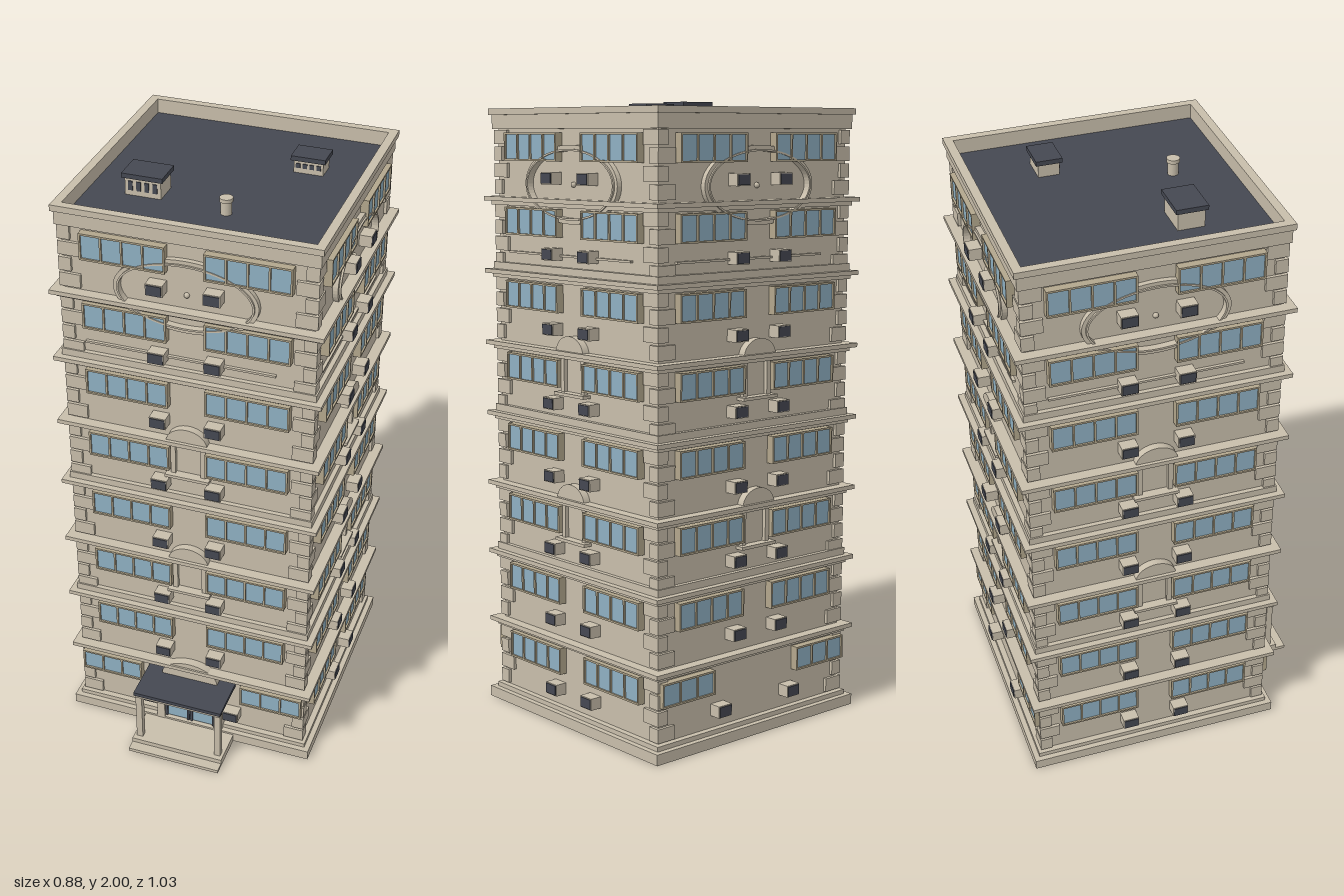
import * as THREE from 'three';

const mat = (name, color) => {
  const m = new THREE.MeshStandardMaterial({ color });
  m.name = name;
  return m;
};

export function createModel() {
  const stone = mat('stone', 0xc8beab);
  const frameTan = mat('window frame', 0xb3a78d);
  const glass = mat('glass', 0x8fb0c2);
  const dark = mat('dark slate', 0x454852);

  const model = new THREE.Group();
  model.name = 'apartmentTower';
  const tower = new THREE.Group();
  tower.name = 'tower';
  tower.position.z = -0.082;
  model.add(tower);

  const add = (parent, name, geo, material, x = 0, y = 0, z = 0) => {
    const m = new THREE.Mesh(geo, material);
    m.name = name;
    m.position.set(x, y, z);
    parent.add(m);
    return m;
  };
  // Box given by its min and max on each axis
  const box = (parent, name, material, x0, x1, y0, y1, z0, z1) =>
    add(parent, name, new THREE.BoxGeometry(x1 - x0, y1 - y0, z1 - z0), material,
      (x0 + x1) / 2, (y0 + y1) / 2, (z0 + z1) / 2);
  const slab = (name, half, y0, y1, material = stone) =>
    box(tower, name, material, -half, half, y0, y1, -half, half);
  const extrude = (shape, depth) =>
    new THREE.ExtrudeGeometry(shape, { depth, bevelEnabled: false, curveSegments: 32 });
  const rect = (path, x0, x1, y0, y1) =>
    path.moveTo(x0, y0).lineTo(x1, y0).lineTo(x1, y1).lineTo(x0, y1).closePath();

  const FLOORS = 8, PITCH = 0.2355, WALL = 0.395;

  // Body, plinth and storey bands
  slab('walls', WALL, 0.02, 1.925);
  slab('plinth', 0.433, 0, 0.035);
  slab('plinthStep', 0.415, 0.035, 0.05);
  for (let i = 1; i < FLOORS; i++) {
    const y = 0.275 + (i - 1) * PITCH;
    slab('storeyBand', 0.431, y - 0.007, y + 0.007);
    slab('bandMoulding', 0.413, y - 0.02, y - 0.007);
    if (i % 2 === 0) slab('bandCourse', 0.41, y + 0.007, y + 0.03);
  }

  // Alternating corner blocks
  for (let f = 0; f < FLOORS; f++) for (let k = 0; k < 4; k++) {
    const y = 0.055 + f * PITCH + k * 0.053;
    const w = k % 2 ? 0.04 : 0.068, d = k % 2 ? 0.068 : 0.04;
    for (const sx of [-1, 1]) for (const sz of [-1, 1])
      add(tower, 'cornerBlock', new THREE.BoxGeometry(w, 0.045, d), stone,
        sx * (0.405 - w / 2), y + 0.0225, sz * (0.405 - d / 2));
  }

  // Parapet ring and roof deck
  const ring = (half, hole, y, h) => {
    const s = new THREE.Shape(), p = new THREE.Path();
    rect(s, -half, half, -half, half);
    rect(p, -hole, hole, -hole, hole);
    s.holes.push(p);
    add(tower, 'parapet', extrude(s, h), stone, 0, y, 0).rotation.x = -Math.PI / 2;
  };
  ring(0.41, 0.39, 1.91, 0.05);
  ring(0.418, 0.39, 1.955, 0.02);
  slab('roofDeck', 0.392, 1.92, 1.928, dark);

  // Window: framed panes standing proud of the wall
  const windowGeo = (w, h, panes) => {
    const s = new THREE.Shape();
    rect(s, -w / 2, w / 2, -h / 2, h / 2);
    const b = 0.006, step = (w - b) / panes;
    for (let i = 0; i < panes; i++) {
      const p = new THREE.Path(), x = -w / 2 + b + i * step;
      rect(p, x, x + step - b, -h / 2 + b, h / 2 - b);
      s.holes.push(p);
    }
    return extrude(s, 0.03);
  };
  const wide = windowGeo(0.27, 0.088, 4), narrow = windowGeo(0.218, 0.078, 3);
  const addWindow = (face, x, y, isNarrow) => {
    const w = isNarrow ? 0.218 : 0.27, h = isNarrow ? 0.078 : 0.088;
    add(face, 'windowFrame', isNarrow ? narrow : wide, frameTan, x, y, 0.391);
    box(face, 'windowGlass', glass, x - w / 2 + 0.003, x + w / 2 - 0.003,
      y - h / 2 + 0.003, y + h / 2 - 0.003, 0.395, 0.415);
  };
  // Air conditioner: stone casing, dark grille with slats
  const addCooler = (face, x, y) => {
    box(face, 'coolerCasing', stone, x - 0.027, x + 0.027, y - 0.019, y + 0.019, 0.39, 0.435);
    box(face, 'coolerGrille', dark, x - 0.024, x + 0.024, y - 0.016, y + 0.016, 0.433, 0.438);
  };
  // Half-ellipse hood
  const hood = (face, rx, ry, y, depth) => {
    const s = new THREE.Shape();
    s.absellipse(0, 0, rx, ry, 0, Math.PI, false, 0);
    s.closePath();
    add(face, 'archHood', extrude(s, depth), stone, 0, y, 0.39);
  };
  const ellipseRing = (face, rx, ry, t, depth) => {
    const s = new THREE.Shape(), p = new THREE.Path();
    s.absellipse(0, 0, rx, ry, 0, Math.PI * 2, false, 0);
    p.absellipse(0, 0, rx - t, ry - t, 0, Math.PI * 2, true, 0);
    s.holes.push(p);
    add(face, 'ovalMoulding', extrude(s, depth), stone, 0, 1.74, 0.39);
  };

  // Four facades
  ['front', 'left', 'back', 'right'].forEach((side, n) => {
    const face = new THREE.Group();
    face.name = side + 'Facade';
    face.rotation.y = n * Math.PI / 2;
    tower.add(face);
    for (let f = 0; f < FLOORS; f++) {
      const y = 0.206 + f * PITCH;
      const shifted = f === 0 && n % 2 === 0;
      for (const s of [-1, 1]) {
        addWindow(face, s * (shifted ? 0.289 : 0.195), y, shifted);
        addCooler(face, s * (shifted ? 0.151 : 0.09), y - 0.096);
      }
    }
    // Large oval relief with a central boss
    ellipseRing(face, 0.228, 0.121, 0.016, 0.022);
    ellipseRing(face, 0.216, 0.109, 0.006, 0.028);
    add(face, 'boss', new THREE.SphereGeometry(0.009, 12, 8), stone, 0, 1.74, 0.397);
    box(face, 'ledge', stone, -0.33, 0.28, 1.515, 1.522, 0.39, 0.405);
    // Arched niches between the windows
    for (const y of [0.746, 1.217]) {
      hood(face, 0.068, 0.055, y, 0.03);
      box(face, 'nicheSill', stone, -0.073, 0.073, y - 0.135, y - 0.125, 0.39, 0.425);
      for (const s of [-1, 1])
        box(face, 'nichePilaster', stone, s * 0.05 - 0.008, s * 0.05 + 0.008, y - 0.125, y, 0.39, 0.408);
    }
    if (n === 0) hood(face, 0.1, 0.065, 0.235, 0.035);
  });

  // Entrance: steps, columns, canopy and glazed door
  const porch = new THREE.Group();
  porch.name = 'porch';
  model.add(porch);
  box(porch, 'lowerStep', stone, -0.163, 0.163, 0, 0.012, 0.3, 0.515);
  box(porch, 'upperStep', stone, -0.163, 0.163, 0.012, 0.028, 0.3, 0.48);
  for (const s of [-1, 1]) {
    box(porch, 'column', stone, s * 0.142 - 0.011, s * 0.142 + 0.011, 0.028, 0.215, 0.44, 0.462);
    box(porch, 'doorJamb', stone, s * 0.105 - 0.014, s * 0.105 + 0.014, 0.028, 0.215, 0.31, 0.352);
  }
  box(porch, 'canopy', stone, -0.152, 0.152, 0.212, 0.222, 0.31, 0.466);
  box(porch, 'canopyRoof', dark, -0.157, 0.157, 0.222, 0.235, 0.31, 0.47);
  box(porch, 'doorGlass', glass, -0.091, 0.091, 0.04, 0.212, 0.31, 0.34);
  for (const x of [-0.086, -0.006, 0.006, 0.086])
    box(porch, 'doorMullion', dark, x - 0.004, x + 0.004, 0.04, 0.212, 0.335, 0.346);

  // Roof vents and pipe
  const vent = (x0, x1, z0, z1, top) => {
    box(model, 'ventBody', stone, x0 + 0.008, x1 - 0.008, 1.92, top - 0.015, z0 + 0.008, z1 - 0.008);
    box(model, 'ventCap', dark, x0, x1, top - 0.015, top, z0, z1);
    for (let i = 0; i < 4; i++) {
      const x = x0 + (x1 - x0) * (0.2 + 0.2 * i);
      box(model, 'ventSlot', dark, x - 0.007, x + 0.007, 1.945, top - 0.025, z1 - 0.009, z1 - 0.005);
    }
  };
  vent(-0.278, -0.147, 0.02, 0.12, 2);
  vent(0.155, 0.265, -0.273, -0.19, 1.985);
  add(model, 'roofPipe', new THREE.CylinderGeometry(0.017, 0.017, 0.055, 12), stone, 0.058, 1.945, 0.13);
  add(model, 'pipeCap', new THREE.CylinderGeometry(0.021, 0.021, 0.012, 12), stone, 0.058, 1.975, 0.13);

  return model;
}
